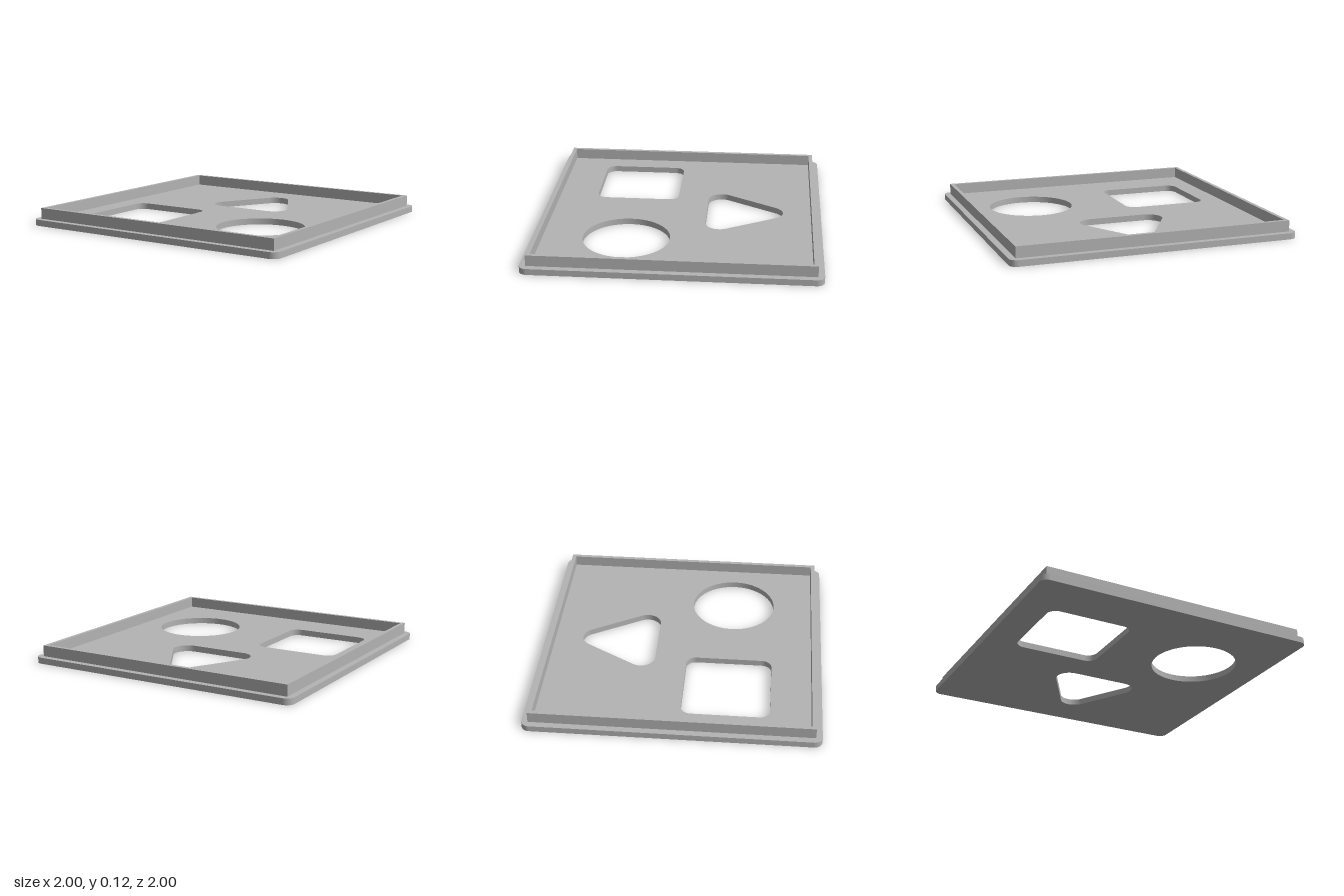
import * as THREE from 'three';
import { toCreasedNormals } from 'three/addons/utils/BufferGeometryUtils.js';

const PLATE_H = 0.043;
const TOTAL_H = 0.12;

// Traces a rounded polygon around counter-clockwise corner centres
function roundedPolygon(path, centres, r) {
  const n = centres.length;
  const normalAngle = (a, b) => Math.atan2(b[1] - a[1], b[0] - a[0]) - Math.PI / 2;
  centres.forEach((c, i) => {
    const start = normalAngle(centres[(i + n - 1) % n], c);
    const end = normalAngle(c, centres[(i + 1) % n]);
    path.absarc(c[0], c[1], r, start, end, false);
  });
  path.closePath();
  return path;
}

// Rounded square given its centre, half size and corner radius
function roundedSquare(path, x, y, half, r) {
  const d = half - r;
  return roundedPolygon(path, [[x - d, y - d], [x + d, y - d], [x + d, y + d], [x - d, y + d]], r);
}

function square(path, h) {
  return path.moveTo(-h, -h).lineTo(h, -h).lineTo(h, h).lineTo(-h, h).closePath();
}

// Extrudes a plan drawn with y pointing to the back, standing it on the given height
function slab(name, shape, bottom, height, material) {
  let geometry = new THREE.ExtrudeGeometry(shape, { depth: height, bevelEnabled: false, curveSegments: 32 });
  geometry.rotateX(-Math.PI / 2);
  geometry = toCreasedNormals(geometry, Math.PI / 6);
  const mesh = new THREE.Mesh(geometry, material);
  mesh.name = name;
  mesh.position.y = bottom;
  return mesh;
}

export function createModel() {
  const group = new THREE.Group();
  group.name = 'shapeSorterLid';
  const grey = new THREE.MeshStandardMaterial({ color: 0xb3b3b3 });
  grey.name = 'grey';

  // Base plate with square, triangular and round openings
  const plate = roundedSquare(new THREE.Shape(), 0, 0, 1, 0.055);
  const squareHole = roundedSquare(new THREE.Path(), -0.481, -0.348, 0.302, 0.07);
  const triangleHole = roundedPolygon(new THREE.Path(), [[-0.202, 0.28], [0.202, 0.28], [0, 0.628]], 0.1);
  const roundHole = new THREE.Path();
  roundHole.absarc(0.481, -0.348, 0.302, 0, Math.PI * 2, false);
  plate.holes.push(squareHole, triangleHole, roundHole);
  group.add(slab('basePlate', plate, 0, PLATE_H, grey));

  // Thin raised rim with sharp corners
  const rim = square(new THREE.Shape(), 0.956);
  rim.holes.push(square(new THREE.Path(), 0.928));
  group.add(slab('rim', rim, PLATE_H, TOTAL_H - PLATE_H, grey));

  return group;
}
